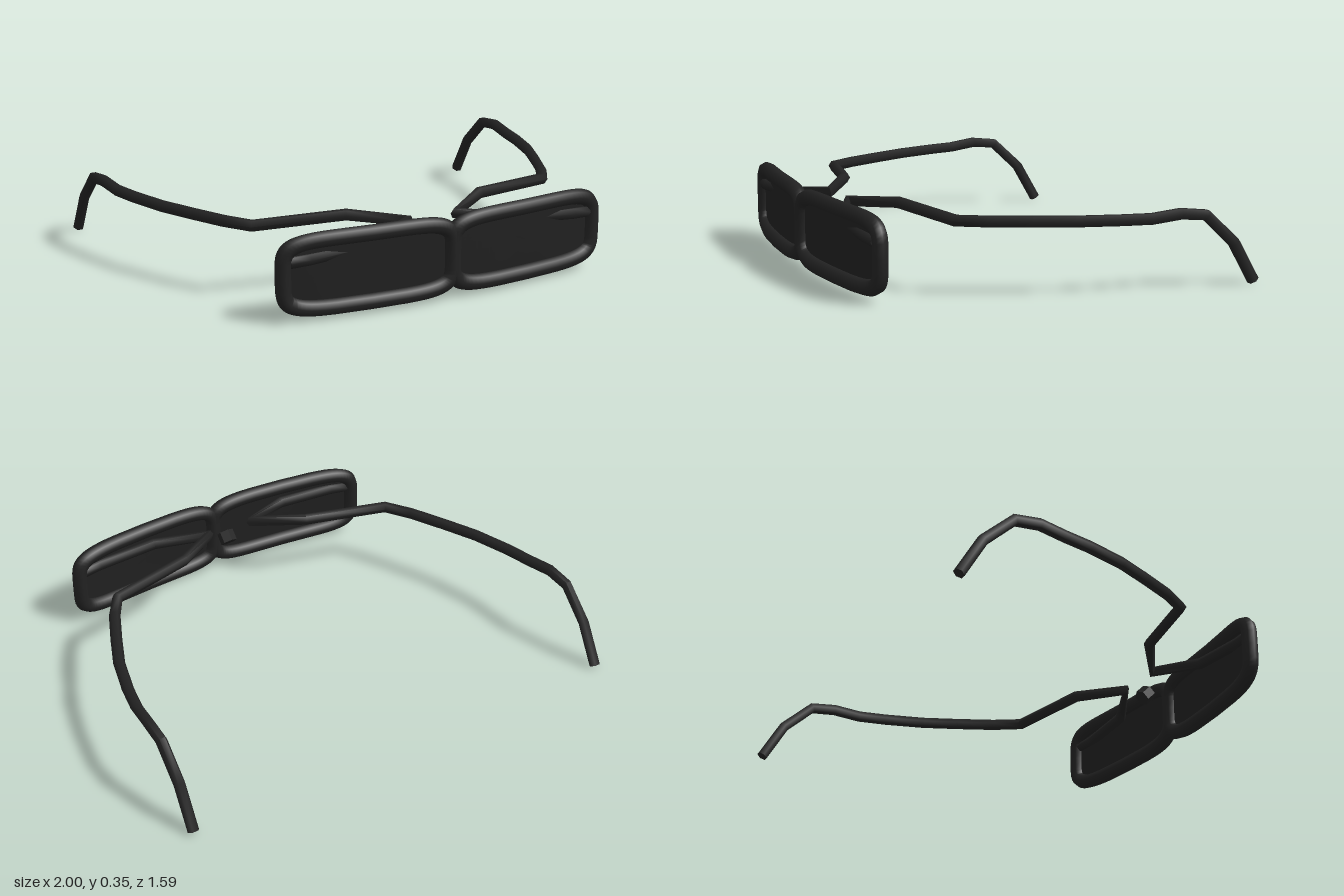
import * as THREE from 'three';
import { toCreasedNormals } from 'three/addons/utils/BufferGeometryUtils.js';

const black = new THREE.MeshStandardMaterial({ color: 0x222222 });
black.name = 'black frame';
const tint = new THREE.MeshStandardMaterial({ color: 0x202020, side: THREE.DoubleSide });
tint.name = 'dark lens';

// Sweeps a round section along points; each ring faces the mean direction of its two neighbours.
function sweep(points, radius, sides, closed, ref) {
  const pos = [], index = [], n = points.length;
  const dir = (a, b) => b.clone().sub(a).normalize();
  points.forEach((p, i) => {
    const t = new THREE.Vector3();
    if (closed || i > 0) t.add(dir(points[(i + n - 1) % n], p));
    if (closed || i < n - 1) t.add(dir(p, points[(i + 1) % n]));
    t.normalize();
    const s = t.clone().cross(ref).normalize();
    const u = t.clone().cross(s);
    for (let j = 0; j < sides; j++) {
      const a = (j / sides) * Math.PI * 2;
      const q = p.clone().addScaledVector(s, radius * Math.cos(a)).addScaledVector(u, radius * Math.sin(a));
      pos.push(q.x, q.y, q.z);
    }
  });
  for (let i = 0; i < (closed ? n : n - 1); i++) {
    const k = ((i + 1) % n) * sides;
    for (let j = 0; j < sides; j++) {
      const m = (j + 1) % sides, a = i * sides + j, b = i * sides + m;
      index.push(a, b, k + m, a, k + m, k + j);
    }
  }
  if (!closed) {
    const c = n * sides, last = (n - 1) * sides;
    pos.push(...points[0].toArray(), ...points[n - 1].toArray());
    for (let j = 0; j < sides; j++) {
      const m = (j + 1) % sides;
      index.push(c, m, j, c + 1, last + j, last + m);
    }
  }
  const g = new THREE.BufferGeometry();
  g.setAttribute('position', new THREE.Float32BufferAttribute(pos, 3));
  g.setIndex(index);
  return toCreasedNormals(g, 1.1);
}

// Rounded-rectangle outline bent backwards towards the sides
const CX = 0.353, CY = 0.187, A = 0.352, B = 0.138, POWER = 2 / 5;
function rimPoint(angle, scale, side) {
  const c = Math.cos(angle), s = Math.sin(angle);
  const x = side * CX + scale * A * Math.sign(c) * Math.abs(c) ** POWER;
  const y = CY + scale * B * Math.sign(s) * Math.abs(s) ** POWER;
  return new THREE.Vector3(x, y, 0.764 - 0.066 * (x / 0.705) ** 2);
}

function lensGeometry(side) {
  const g = new THREE.RingGeometry(0, 1, 64, 6);
  const p = g.attributes.position;
  for (let i = 0; i < p.count; i++) {
    const q = rimPoint(Math.atan2(p.getY(i), p.getX(i)), Math.hypot(p.getX(i), p.getY(i)), side);
    p.setXYZ(i, q.x, q.y, q.z);
  }
  g.computeVertexNormals();
  return g;
}

// Temple path from the rim, in to the folded kink, then back to the ear hook
const ARM = [
  [0.68, 0.245, 0.705], [0.6, 0.25, 0.715], [0.33, 0.268, 0.712], [0.11, 0.295, 0.605],
  [0.31, 0.313, 0.465], [0.68, 0.3, 0.38], [0.75, 0.3, 0.27], [0.82, 0.3, 0.12],
  [0.885, 0.3, -0.03], [0.935, 0.3, -0.2], [0.96, 0.3, -0.32], [0.974, 0.313, -0.44],
  [0.977, 0.3, -0.55], [0.977, 0.18, -0.68], [0.977, 0.018, -0.775],
];

export function createModel() {
  const model = new THREE.Group();
  model.name = 'eyeglasses';
  const add = (name, geometry, material) => {
    const mesh = new THREE.Mesh(geometry, material);
    mesh.name = name;
    model.add(mesh);
    return mesh;
  };
  const up = new THREE.Vector3(0, 1, 0), front = new THREE.Vector3(0, 0, 1);

  for (const [word, side] of [['left', 1], ['right', -1]]) {
    const rim = [];
    for (let i = 0; i < 56; i++) rim.push(rimPoint((i / 56) * Math.PI * 2, 1, side));
    add(word + 'Rim', sweep(rim, 0.033, 8, true, front), black);
    add(word + 'Lens', lensGeometry(side), tint);
    const path = ARM.map(([x, y, z]) => new THREE.Vector3(side * x, y, z));
    add(word + 'Temple', sweep(path, 0.024, 6, false, up), black);
  }

  // Small tilted nose stud behind the bridge
  const stud = add('noseStud', toCreasedNormals(new THREE.CylinderGeometry(0.037, 0.037, 0.05, 6), 0.6), black);
  stud.position.set(0, 0.233, 0.636);
  stud.rotation.x = Math.PI / 4;
  return model;
}
